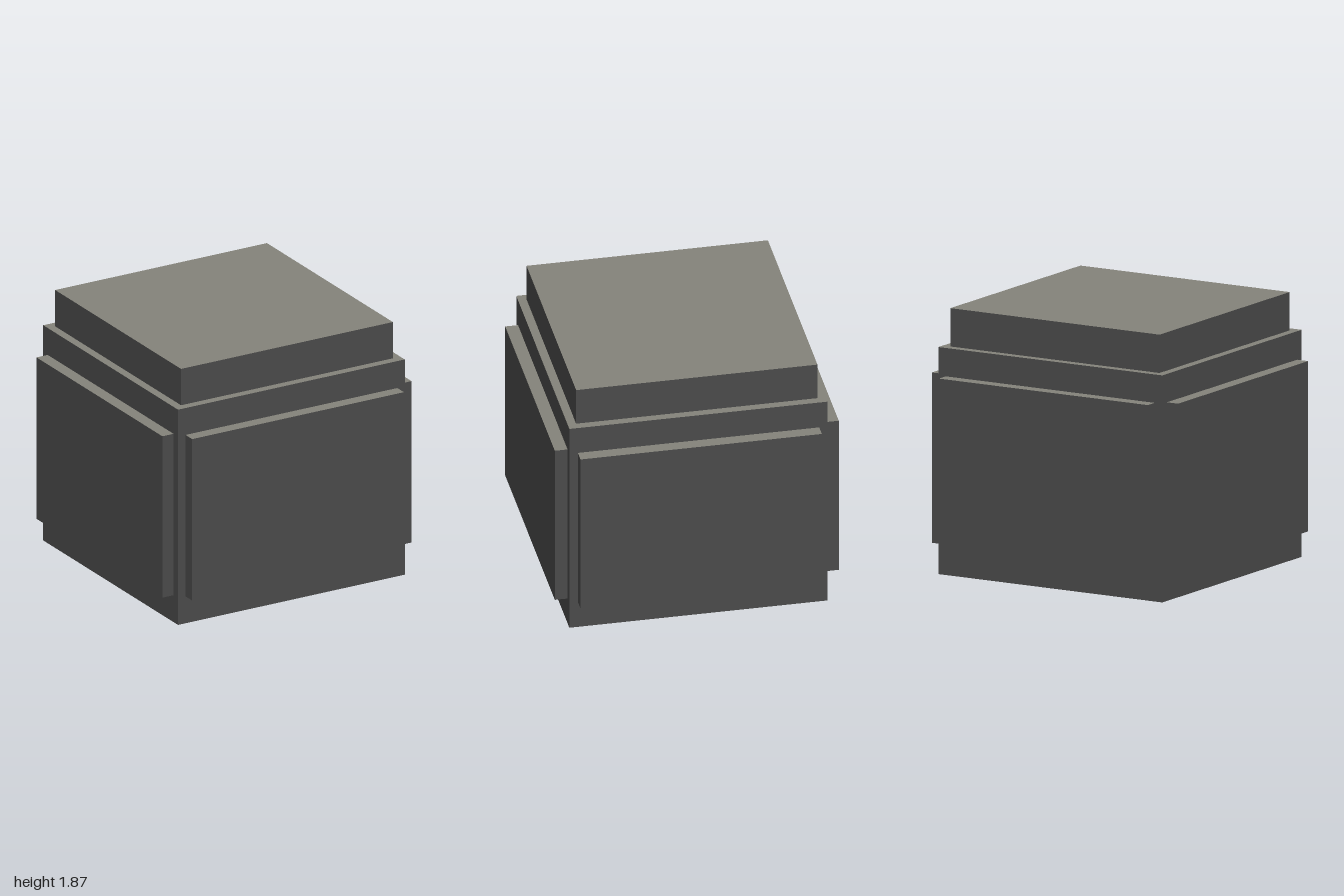
import * as THREE from 'three';

export function createModel() {
  const model = new THREE.Group();
  model.name = 'panelledBlock';

  const dark = new THREE.MeshStandardMaterial({ color: 0x4a4a4a });
  dark.name = 'dark grey';
  const stone = new THREE.MeshStandardMaterial({ color: 0x84837a });
  stone.name = 'warm stone grey';

  // Box standing on y, with stone on its upward face and dark grey elsewhere
  function block(name, w, h, d, y) {
    const geometry = new THREE.BoxGeometry(w, h, d);
    const mesh = new THREE.Mesh(geometry, [dark, dark, stone, dark, dark, dark]);
    mesh.name = name;
    mesh.position.y = y + h / 2;
    return mesh;
  }

  // Main body and the narrower cap on top
  model.add(block('body', 1.82, 1.6, 1.82, 0));
  model.add(block('cap', 1.7, 0.27, 1.7, 1.6));

  // One raised panel on each of the four sides
  ['frontPanel', 'leftPanel', 'backPanel', 'rightPanel'].forEach((name, i) => {
    const panel = block(name, 1.7, 1.2, 0.09, 0.2);
    const angle = (i * Math.PI) / 2;
    panel.rotation.y = angle;
    panel.position.x = Math.sin(angle) * 0.955;
    panel.position.z = Math.cos(angle) * 0.955;
    model.add(panel);
  });

  return model;
}
